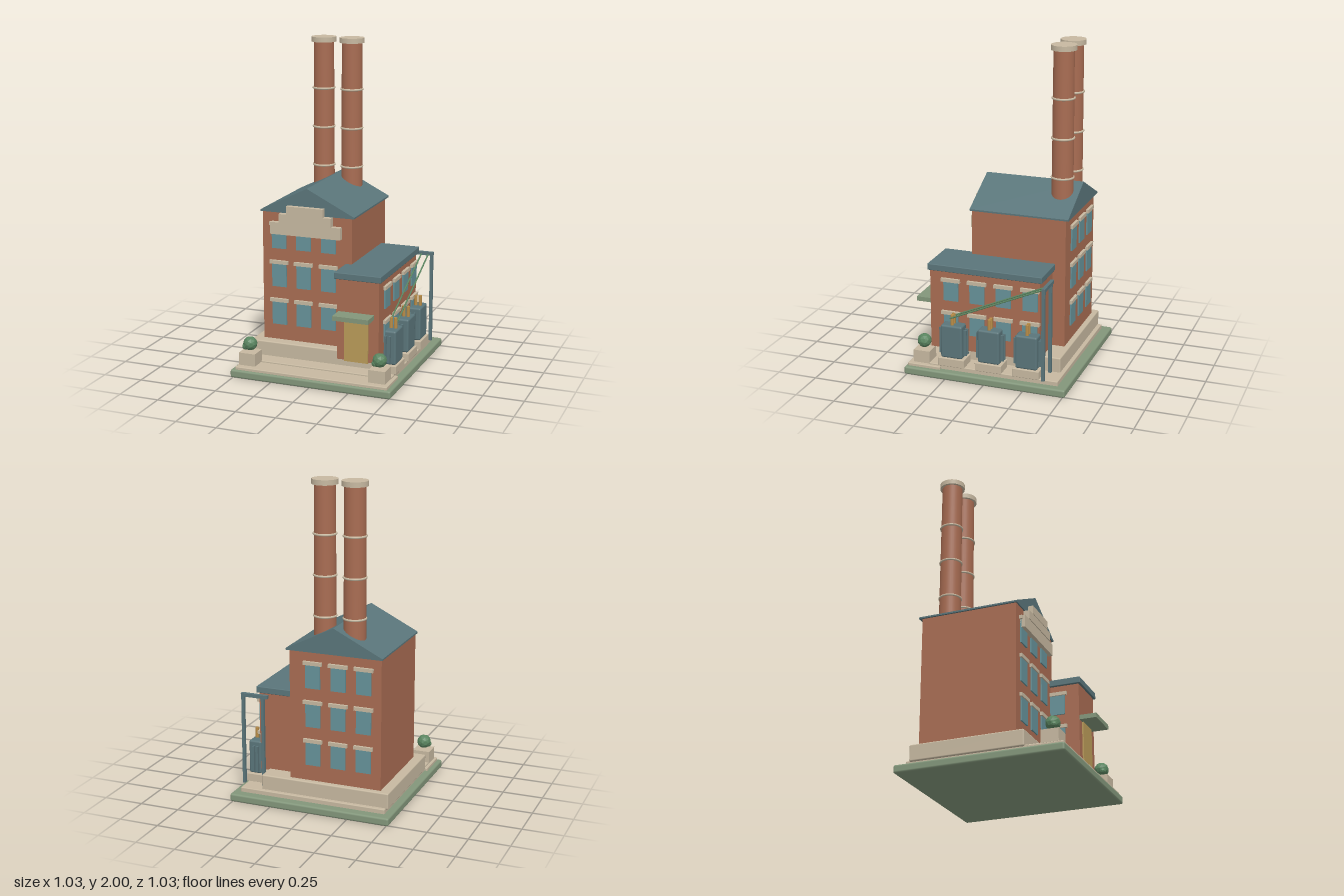
import * as THREE from 'three';
import { RoundedBoxGeometry } from 'three/addons/geometries/RoundedBoxGeometry.js';

const mat = (name, color, flatShading = false) => {
  const m = new THREE.MeshStandardMaterial({ color, flatShading });
  m.name = name;
  return m;
};

export function createModel() {
  const brick = mat('brick', 0xa86c52);
  const stone = mat('stone', 0xc6b8a0);
  const lawn = mat('lawn green', 0x82967a);
  const slate = mat('slate teal', 0x5a757a);
  const glass = mat('window glass', 0x669299);
  const ochre = mat('door ochre', 0xb89a58);
  const amber = mat('insulator amber', 0xb88c48);
  const leaf = mat('leaf green', 0x5a8560, true);

  const model = new THREE.Group();
  model.name = 'powerStation';
  const add = (name, geometry, material, x = 0, y = 0, z = 0, parent = model) => {
    const mesh = new THREE.Mesh(geometry, material);
    mesh.name = name;
    mesh.position.set(x, y, z);
    parent.add(mesh);
    return mesh;
  };
  // Box given by its limits on each axis, optionally with rounded edges
  const block = (name, material, [x0, x1], [y0, y1], [z0, z1], r = 0, parent = model) => {
    const size = [x1 - x0, y1 - y0, z1 - z0];
    const geo = r ? new RoundedBoxGeometry(...size, 2, r) : new THREE.BoxGeometry(...size);
    return add(name, geo, material, (x0 + x1) / 2, (y0 + y1) / 2, (z0 + z1) / 2, parent);
  };

  // Ground
  block('lawnBase', lawn, [-0.515, 0.515], [0, 0.05], [-0.515, 0.515], 0.012);
  block('paving', stone, [-0.47, 0.468], [0.045, 0.078], [-0.457, 0.37], 0.005);
  block('frontWalk', stone, [-0.488, 0.488], [0.045, 0.068], [0.29, 0.5], 0.005);
  block('plinth', stone, [-0.483, 0.337], [0.07, 0.17], [-0.432, 0.268], 0.008);

  // Main hall with a gabled roof
  block('mainHall', brick, [-0.425, 0.157], [0.16, 0.985], [-0.4, 0.2]);
  const gable = new THREE.Shape([
    [-0.305, 0], [0.305, 0], [0.305, 0.01], [0, 0.162], [-0.305, 0.01],
  ].map(p => new THREE.Vector2(...p)));
  const roofGeo = new THREE.ExtrudeGeometry(gable, { depth: 0.628, bevelEnabled: false });
  add('mainRoof', roofGeo, slate, -0.131, 0.982, -0.42);

  // Stepped parapet on the front
  for (const [hw, y0, y1, z1] of [[0.228, 0.85, 0.925, 0.232], [0.17, 0.925, 0.98, 0.237], [0.119, 0.98, 1.032, 0.24]])
    block('parapetStep', stone, [-0.135 - hw, -0.135 + hw], [y0, y1], [0.19, z1]);

  // Side annex with a flat roof
  block('annex', brick, [0.132, 0.395], [0.16, 0.665], [-0.32, 0.38]);
  block('annexRoof', slate, [0.116, 0.41], [0.66, 0.7], [-0.336, 0.393], 0.004);
  block('door', ochre, [0.18, 0.33], [0.155, 0.43], [0.375, 0.389]);
  block('doorCanopy', lawn, [0.14, 0.366], [0.432, 0.46], [0.375, 0.484]);

  // Window with lintel, facing the direction set by the turn about y
  const paneGeo = h => new THREE.BoxGeometry(0.094, h, 0.018);
  const lintelGeo = new THREE.BoxGeometry(0.12, 0.022, 0.034);
  const windowUnit = (x, y, z, turn, h) => {
    const unit = new THREE.Group();
    unit.name = 'window';
    add('pane', paneGeo(h), glass, 0, 0, 0, unit);
    add('lintel', lintelGeo, stone, 0, h / 2 + 0.01, 0, unit);
    unit.position.set(x, y, z);
    unit.rotation.y = turn;
    model.add(unit);
  };
  for (const y of [0.342, 0.585, 0.828])
    for (const x of [-0.316, -0.155, 0.007]) {
      windowUnit(x, y, 0.2, 0, 0.146);
      windowUnit(x, y, -0.4, Math.PI, 0.146);
    }
  for (const y of [0.326, 0.536]) {
    for (const z of [0.245, 0.077, -0.092, -0.26]) windowUnit(0.395, y, z, Math.PI / 2, 0.122);
    windowUnit(0.132, y, 0.245, -Math.PI / 2, 0.122);
  }

  // Twin chimneys with stone bands and caps
  for (const x of [-0.225, -0.038]) {
    const chimney = new THREE.Group();
    chimney.name = 'chimney';
    chimney.position.set(x, 0, -0.315);
    model.add(chimney);
    add('shaft', new THREE.CylinderGeometry(0.063, 0.067, 0.98, 32), brick, 0, 1.49, 0, chimney);
    for (const y of [1.19, 1.435, 1.68]) {
      const band = add('band', new THREE.TorusGeometry(0.066, 0.007, 8, 32), stone, 0, y, 0, chimney);
      band.rotation.x = Math.PI / 2;
    }
    add('cap', new THREE.CylinderGeometry(0.078, 0.078, 0.031, 32), stone, 0, 1.9845, 0, chimney);
  }

  // Transformers on pads
  for (const z of [0.22, -0.019, -0.258]) {
    const t = new THREE.Group();
    t.name = 'transformer';
    t.position.z = z;
    model.add(t);
    block('pad', stone, [0.36, 0.478], [0.075, 0.128], [-0.084, 0.084], 0.004, t);
    block('tank', slate, [0.388, 0.47], [0.128, 0.34], [-0.069, 0.069], 0.012, t);
    for (const x of [0.408, 0.434])
      block('radiatorFin', slate, [x - 0.006, x + 0.006], [0.145, 0.31], [-0.088, 0.088], 0, t);
    for (const x of [0.417, 0.445])
      add('insulator', new THREE.CylinderGeometry(0.011, 0.011, 0.07, 12), amber, x, 0.37, 0, t);
  }

  // Gantry and sloping cables
  for (const x of [0.35, 0.481])
    block('gantryPost', slate, [x - 0.009, x + 0.009], [0.078, 0.65], [-0.381, -0.361]);
  block('gantryBeam', slate, [0.318, 0.492], [0.64, 0.662], [-0.382, -0.36]);
  for (const x of [0.415, 0.46]) {
    const line = new THREE.LineCurve3(new THREE.Vector3(x, 0.65, -0.37), new THREE.Vector3(x, 0.385, 0.23));
    add('cable', new THREE.TubeGeometry(line, 1, 0.005, 8), leaf);
  }

  // Planters with shrubs
  for (const x of [-0.422, 0.415]) {
    block('planter', stone, [x - 0.053, x + 0.053], [0.072, 0.15], [0.364, 0.469]);
    add('shrub', new THREE.IcosahedronGeometry(0.044, 1), leaf, x, 0.199, 0.417);
    add('smallShrub', new THREE.IcosahedronGeometry(0.021, 1), leaf, x - 0.024, 0.182, 0.432);
  }
  return model;
}
